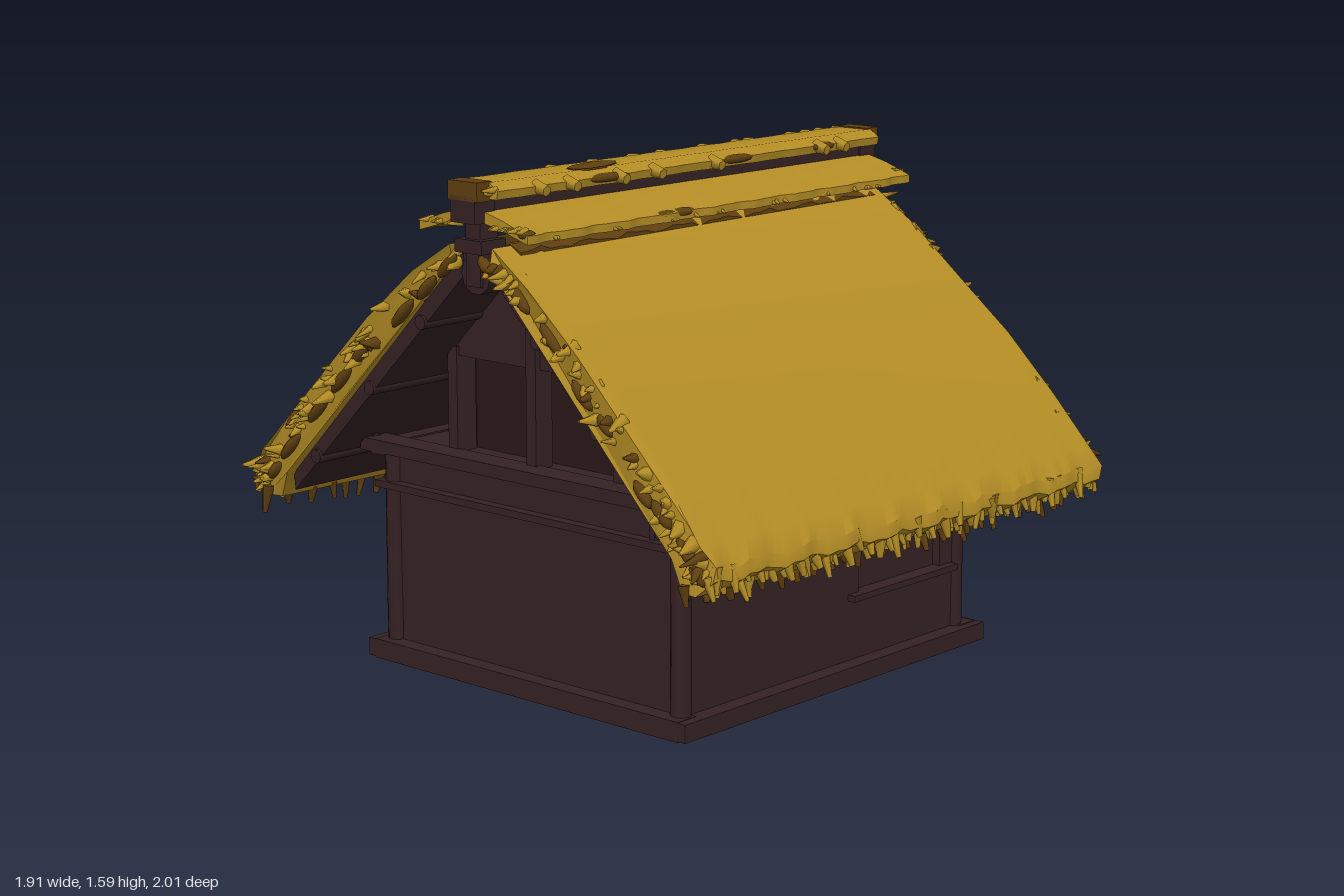
import * as THREE from 'three';
import { mergeGeometries, toCreasedNormals } from 'three/addons/utils/BufferGeometryUtils.js';

const mat = (name, color) => new THREE.MeshStandardMaterial({ name, color });

export function createModel() {
  const model = new THREE.Group();
  model.name = 'thatchedHut';
  const straw = mat('straw', 0xb48d25);
  const darkStraw = mat('darkStraw', 0x5f3f10);
  const wood = mat('wood', 0x352123);
  const darkWood = mat('darkWood', 0x2a191a);

  let seed = 7;
  const rnd = (a = 0, b = 1) => {
    seed = (seed * 16807) % 2147483647;
    return a + (b - a) * seed / 2147483647;
  };

  const add = (name, geo, material, parent = model) => {
    const m = new THREE.Mesh(geo, material);
    m.name = name;
    parent.add(m);
    return m;
  };
  // box given by its extents on each axis
  const box = (name, x0, x1, y0, y1, z0, z1, material = wood) => {
    const m = add(name, new THREE.BoxGeometry(x1 - x0, y1 - y0, z1 - z0), material);
    m.position.set((x0 + x1) / 2, (y0 + y1) / 2, (z0 + z1) / 2);
    return m;
  };
  // (z, y) outline swept along x
  const prism = (pts, x0, x1, steps = 1) => {
    const shape = new THREE.Shape(pts.map(([z, y]) => new THREE.Vector2(-z, y)));
    const g = new THREE.ExtrudeGeometry(shape, { depth: x1 - x0, steps, bevelEnabled: false });
    return g.rotateY(Math.PI / 2).translate(x0, 0, 0);
  };
  // straw tip: a tapered stub from a point along a direction
  const up = new THREE.Vector3(0, 1, 0);
  const tuft = (p, dir, length, radius, tip = 0.25) => {
    const d = new THREE.Vector3(...dir).normalize();
    const g = new THREE.CylinderGeometry(radius * tip, radius, length, 6);
    g.translate(0, length * 0.3, 0);
    g.applyQuaternion(new THREE.Quaternion().setFromUnitVectors(up, d));
    return g.translate(...p);
  };

  // ---- Ground sill, corner posts and walls (hollow below) ----
  for (const s of [-1, 1]) {
    box('groundSill', -0.71, 0.73, 0.004, 0.06, s * 0.63 - 0.04, s * 0.63 + 0.04);
    box('groundSill', s * 0.675 - 0.035, s * 0.675 + 0.045, 0, 0.062, -0.64, 0.64);
    box('sideWall', s * 0.64 - 0.015, s * 0.64 + 0.015, 0.05, 0.7, -0.6, 0.6);
    for (const t of [-1, 1]) {
      const post = add('cornerPost', new THREE.CylinderGeometry(0.03, 0.032, 0.66, 10), wood);
      post.position.set(s * 0.65, 0.36, t * 0.6);
    }
  }
  const windowWall = (s, x0, x1) => {
    const rect = (C, a, b, c, d) => new C([[a, c], [b, c], [b, d], [a, d]].map(p => new THREE.Vector2(...p)));
    const shape = rect(THREE.Shape, -0.65, 0.65, 0.05, 0.7);
    shape.holes.push(rect(THREE.Path, x0, x1, 0.27, 0.54));
    const wall = add('windowWall', new THREE.ExtrudeGeometry(shape, { depth: 0.03, bevelEnabled: false }), wood);
    wall.position.z = s * 0.6 - 0.015;
    box('shutter', x0 - 0.02, x1 + 0.02, 0.25, 0.56, s * 0.58 - 0.008, s * 0.58 + 0.008);
    box('windowSill', x0 - 0.05, x1 + 0.06, 0.25, 0.27, s * 0.62 - 0.022, s * 0.62 + 0.022);
  };
  windowWall(1, 0.15, 0.56);
  windowWall(-1, 0.0, 0.57);
  box('ceiling', -0.64, 0.64, 0.66, 0.7, -0.6, 0.6);

  // ---- Door with frame ----
  box('door', 0.65, 0.66, 0.06, 0.52, -0.13, 0.2);
  for (const z of [-0.13, 0.2]) box('doorPost', 0.65, 0.672, 0.05, 0.53, z - 0.008, z + 0.008);
  box('doorLintel', 0.65, 0.672, 0.515, 0.53, -0.138, 0.208);

  // ---- Beams and gables on both ends ----
  for (const s of [-1, 1]) {
    const span = (name, a, b, ...r) => box(name, Math.min(s * a, s * b), Math.max(s * a, s * b), ...r);
    span('gableBeam', 0.63, 0.72, 0.67, 0.71, -0.68, 0.68);
    span('railBeam', 0.64, 0.69, 0.55, 0.572, -0.65, 0.65);
    span('beamStrut', 0.64, 0.67, 0.57, 0.68, 0.495, 0.515);
    for (const t of [-1, 1]) {
      const peg = add('beamPeg', new THREE.ConeGeometry(0.03, 0.1, 6), wood);
      peg.rotation.x = t * Math.PI / 2;
      peg.position.set(s * 0.68, 0.69, t * 0.7);
      span('atticPost', 0.56, 0.64, 0.7, 1.03, t * 0.345 - 0.02, t * 0.345 + 0.02);
    }
    span('atticPost', 0.58, 0.65, 0.7, 1.3, -0.02, 0.02);
    span('atticPanel', 0.52, 0.55, 0.7, 1.02, -0.34, 0.34, darkWood);
    const tri = [[-0.365, 1.0], [0.365, 1.0], [0.365, 1.05], [0.08, 1.33], [-0.08, 1.33], [-0.365, 1.05]];
    add('gableBoard', prism(tri, s > 0 ? 0.53 : -0.63, s > 0 ? 0.63 : -0.53), wood);
    span('ridgePost', 0.81, 0.88, 1.28, 1.5, -0.03, 0.03);
    span('ridgeBlock', 0.8, 0.9, 1.38, 1.42, -0.055, 0.055);
  }
  for (const t of [-1, 1]) {
    box('plateBeam', -0.72, 0.72, 0.665, 0.705, t * 0.6 - 0.03, t * 0.6 + 0.03);
    box('atticSideWall', -0.56, 0.56, 0.7, 1.04, t * 0.345 - 0.012, t * 0.345 + 0.012);
  }
  const pole = (name, y, z, r, half) => {
    const p = add(name, new THREE.CylinderGeometry(r, r, half * 2, 10), wood);
    p.rotation.z = Math.PI / 2;
    p.position.set(0, y, z);
  };
  pole('ridgePole', 1.315, 0, 0.06, 0.87);

  // ---- Thatch slopes ----
  const outer = [[0.08, 1.4], [0.25, 1.3], [0.46, 1.13], [0.62, 0.98], [0.8, 0.8], [0.94, 0.655], [0.985, 0.6]];
  const end = [[0.99, 0.56], [0.93, 0.515], [0.87, 0.515], [0.82, 0.605], [0.09, 1.345]];
  const skew = (x, z) => z + 0.04 * x * Math.min(1, Math.abs(z)) - 0.03 * z;
  const wave = (x, k) => 0.006 * Math.sin(x * 31 + k * 4) + 0.004 * Math.sin(x * 67 + k);
  for (const t of [-1, 1]) {
    const side = new THREE.Group();
    side.name = t > 0 ? 'frontSlope' : 'backSlope';
    model.add(side);
    // ragged slab
    const slab = prism([...outer, ...end].map(([z, y]) => [t * z, y]), -0.88, 0.88, 48);
    const p = slab.attributes.position;
    for (let i = 0; i < p.count; i++) {
      const x = p.getX(i), y = p.getY(i), z = p.getZ(i);
      const edge = Math.abs(z) > 0.95 ? 1 : 0;
      p.setXYZ(i, x + (Math.abs(x) > 0.87 ? 0.018 * Math.sin(y * 40 + z * 9) : 0),
        y + edge * wave(x, t), skew(x, z) + t * edge * wave(x, t + 2));
    }
    add('thatchSlab', toCreasedNormals(slab, 0.6), straw, side);
    // board lining under the straw
    const lining = [[0.06, 1.375], [0.835, 0.6], [0.83, 0.54], [0.06, 1.305]].map(([z, y]) => [t * z, y]);
    add('roofLining', prism(lining, -0.86, 0.86), wood, side);
    for (const z of [0.24, 0.47, 0.72]) pole('purlin', 1.385 - z, t * z, 0.022, 0.87);
    // dark, wavy strip along the upper edge
    const strip = prism([[0.07, 1.404], [0.115, 1.385], [0.115, 1.37], [0.07, 1.375]].map(([z, y]) => [t * z, y]), -0.8, 0.84, 40);
    const sp = strip.attributes.position;
    for (let i = 0; i < sp.count; i++) {
      if (Math.abs(sp.getZ(i)) > 0.1) sp.setY(i, sp.getY(i) + wave(sp.getX(i), t + 5));
    }
    add('upperEdge', toCreasedNormals(strip, 0.6), darkStraw, side);

    // eave fringe
    const light = [], dark = [];
    for (let i = 0; i < 100; i++) {
      const x = -0.89 + 1.78 * i / 99 + rnd(-0.006, 0.006);
      const low = i % 4 === 0;
      const z = low ? rnd(0.87, 0.92) : rnd(0.94, 0.975);
      const y = low ? 0.53 : rnd(0.555, 0.585);
      (low ? dark : light).push(
        tuft([x, y, skew(x, t * z)], [rnd(-0.25, 0.25), -1, t * rnd(0, 0.5)], rnd(0.06, 0.1), rnd(0.016, 0.026), 0.35));
    }
    // tips and dark clumps along the gable edges
    const curve = new THREE.CatmullRomCurve3(outer.map(([z, y]) => new THREE.Vector3(0, y, z)));
    for (const s of [-1, 1]) {
      for (let i = 0; i < 54; i++) {
        const c = curve.getPoint(rnd(0.01, 1));
        const deep = rnd(0.015, 0.08);
        const z = c.z - deep * 0.7, y = c.y - deep * 0.7;
        (i % 6 === 0 ? dark : light).push(
          tuft([s * rnd(0.86, 0.88), y, skew(s * 0.88, t * z)], [s, rnd(-0.5, 0.3), t * rnd(-0.3, 0.5)],
            rnd(0.05, 0.1), rnd(0.015, 0.03), 0.15));
      }
      for (let i = 0; i < 9; i++) {
        const c = curve.getPoint((i + rnd(0.2, 0.8)) / 9);
        const deep = rnd(0.05, 0.08);
        const clump = new THREE.SphereGeometry(1, 8, 6).scale(0.02, 0.018, rnd(0.04, 0.07)).rotateX(t * Math.PI / 4);
        dark.push(clump.translate(s * 0.885, c.y - deep * 0.7, skew(s * 0.88, t * (c.z - deep * 0.7))));
      }
    }
    add('thatchTips', mergeGeometries(light), straw, side);
    add('darkThatchTips', mergeGeometries(dark), darkStraw, side);
  }

  // ---- Ridge cap: two flaps, a beam and a top bundle ----
  const capLight = [], capDark = [];
  for (const t of [-1, 1]) {
    const flap = prism([[0.02, 1.51], [0.12, 1.485], [0.22, 1.45], [0.22, 1.425], [0.12, 1.455], [0.02, 1.475]]
      .map(([z, y]) => [t * z, y]), -0.88, 0.89, 60);
    const p = flap.attributes.position;
    for (let i = 0; i < p.count; i++) {
      if (Math.abs(p.getZ(i)) > 0.2) p.setZ(i, p.getZ(i) + t * wave(p.getX(i), t));
    }
    add('ridgeFlap', toCreasedNormals(flap, 0.6), straw);
    for (let i = 0; i < 18; i++) {
      capLight.push(tuft([rnd(-0.86, 0.86), 1.437, t * 0.205], [rnd(-0.5, 0.5), -0.35, t], 0.035, 0.012));
    }
    for (let i = 0; i < 14; i++) {
      capLight.push(tuft([t * 0.87, rnd(1.55, 1.58), rnd(-0.08, 0.08)], [t, 0, rnd(-0.4, 0.4)], 0.05, 0.013));
      capLight.push(tuft([t * 0.87, 1.46, (i % 2 ? 1 : -1) * rnd(0.06, 0.2)], [t, 0, rnd(-0.3, 0.3)], 0.05, 0.013));
    }
    box('capEnd', t * 0.89 - 0.03, t * 0.89 + 0.03, 1.535, 1.592, -0.06, 0.06, darkStraw);
    box('ridgeBeamEnd', t * 0.88 - 0.04, t * 0.88 + 0.04, 1.47, 1.55, -0.05, 0.05);
  }
  // rounded binding stubs
  for (const x of [-0.43, -0.25, -0.07, 0.06, 0.26, 0.42, 0.48, 0.69, 0.77, 0.84])
    capLight.push(tuft([x, 1.56, -0.1], [0, 0.1, -1], 0.05, 0.024, 0.7));
  for (const x of [-0.7, -0.57, -0.36, -0.2, 0.07, 0.58, 0.68])
    capLight.push(tuft([x, 1.56, 0.085], [0, -0.2, 1], 0.05, 0.024, 0.7));
  // dark clumps on the flap edge and bundle
  for (const [x, y, z, w] of [[-0.28, 1.445, 0.205, 0.05], [-0.2, 1.445, 0.2, 0.06], [-0.86, 1.45, 0.2, 0.03],
    [-0.4, 1.56, 0.085, 0.1], [0.18, 1.56, 0.085, 0.08], [0.6, 1.56, 0.085, 0.06]])
    capDark.push(new THREE.SphereGeometry(1, 10, 6).scale(w, 0.014, 0.022).translate(x, y, z));
  box('ridgeBeam', -0.9, 0.9, 1.49, 1.55, -0.045, 0.045);
  const bundle = prism([[-0.1, 1.54], [0.09, 1.54], [0.095, 1.565], [0.06, 1.588], [-0.06, 1.588], [-0.105, 1.565]], -0.87, 0.88, 40);
  const bp = bundle.attributes.position;
  for (let i = 0; i < bp.count; i++) bp.setZ(i, bp.getZ(i) + 0.5 * wave(bp.getX(i), 3));
  add('ridgeBundle', toCreasedNormals(bundle, 0.7), straw);
  const patch = add('darkPatch', new THREE.CylinderGeometry(0.12, 0.12, 0.006, 9).scale(1, 1, 0.4), darkStraw);
  patch.position.set(-0.4, 1.588, 0.02);
  patch.rotation.y = 0.2;
  add('ridgeTips', mergeGeometries(capLight), straw);
  add('darkRidgeClumps', mergeGeometries(capDark), darkStraw);

  return model;
}
